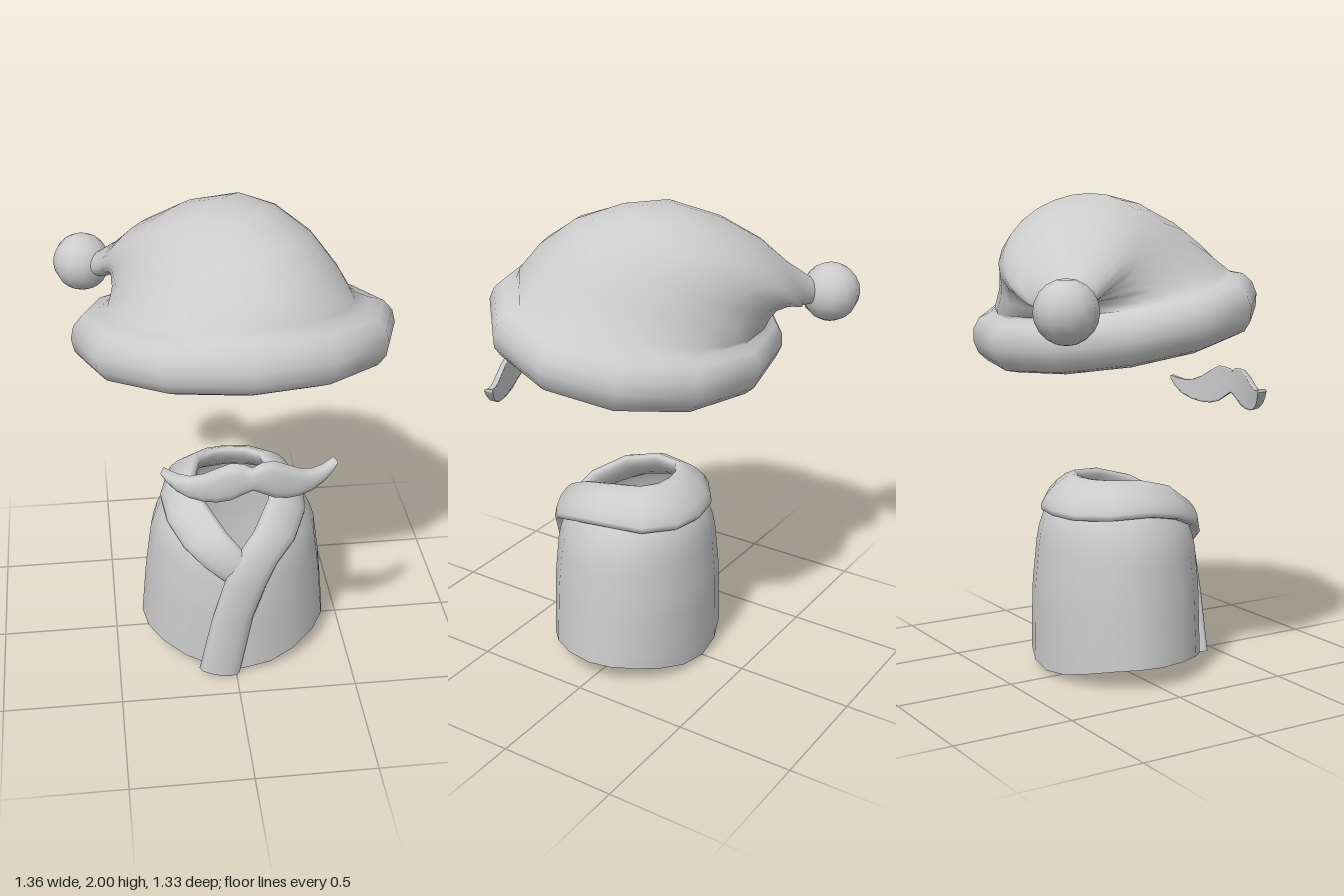
import * as THREE from 'three';

const material = new THREE.MeshStandardMaterial({ color: 0xcccccc, side: THREE.DoubleSide });
const V = (x, y, z) => new THREE.Vector3(x, y, z);

function addMesh(parent, name, geometry) {
  const mesh = new THREE.Mesh(geometry, material);
  mesh.name = name;
  parent.add(mesh);
  return mesh;
}

// Skins a list of closed rings (arrays of Vector3), with optional end caps
function loft(rings, capped = false) {
  const n = rings[0].length, points = rings.flat(), index = [];
  for (let r = 0; r < rings.length - 1; r++) {
    for (let i = 0; i < n; i++) {
      const a = r * n + i, b = r * n + (i + 1) % n;
      index.push(a, b, a + n, b, b + n, a + n);
    }
  }
  const cap = (ends, flip) => {
    const c = points.length;
    const centre = V(0, 0, 0);
    ends.forEach(p => centre.addScaledVector(p, 1 / n));
    points.push(centre, ...ends.map(p => p.clone()));
    for (let i = 0; i < n; i++) {
      const a = c + 1 + i, b = c + 1 + (i + 1) % n;
      index.push(c, flip ? b : a, flip ? a : b);
    }
  };
  if (capped) {
    cap(rings[0], true);
    cap(rings[rings.length - 1], false);
  }
  const g = new THREE.BufferGeometry().setFromPoints(points);
  g.setIndex(index);
  g.computeVertexNormals();
  return g;
}

function ring(n, fn) {
  return Array.from({ length: n }, (_, i) => fn((i / n) * Math.PI * 2, i));
}

// Looks up a table of [key, ...values] with linear interpolation
function lookup(table, key) {
  let i = 0;
  while (i < table.length - 2 && key > table[i + 1][0]) i++;
  const a = table[i], b = table[i + 1];
  const t = THREE.MathUtils.clamp((key - a[0]) / (b[0] - a[0]), 0, 1);
  return a.slice(1).map((v, k) => THREE.MathUtils.lerp(v, b[k + 1], t));
}

function makeHat() {
  const hat = new THREE.Group();
  hat.name = 'hat';

  // Rolled brim, tipped up at the front: [radius, height] from the head opening,
  // under and around the outside, to the top; twelve-sided in plan
  const roll = [
    [0.44, -0.07], [0.49, -0.1], [0.545, -0.112], [0.605, -0.092], [0.64, -0.052],
    [0.652, 0], [0.64, 0.052], [0.605, 0.092], [0.55, 0.108]
  ];
  const xAxis = V(1, 0, 0);
  const brim = roll.map(([r, y]) => ring(24, (a, i) => {
    const q = i % 2 ? r : r * Math.cos(Math.PI / 12), turn = Math.PI / 4 - a;
    return V(q * Math.cos(turn), y, 0.89 * q * Math.sin(turn))
      .applyAxisAngle(xAxis, -0.2).add(V(0.03, 1.49, 0.02));
  }));

  // Drooping crown: each section runs from a front/top point to a rear/under point
  // [front s, front y, rear s, rear y, half width, side offset, side tilt]
  const sections = [
    [-0.47, 1.70, 0.53, 1.535, 0.475, 0.01, -0.13],
    [-0.39, 1.81, 0.55, 1.56, 0.425, 0.025, -0.10],
    [-0.25, 1.92, 0.57, 1.57, 0.38, 0.045, -0.05],
    [-0.06, 1.985, 0.60, 1.565, 0.335, 0.065, 0],
    [0.12, 1.998, 0.62, 1.56, 0.285, 0.075, 0],
    [0.33, 1.925, 0.64, 1.55, 0.235, 0.075, 0],
    [0.50, 1.82, 0.66, 1.54, 0.175, 0.055, 0],
    [0.62, 1.71, 0.68, 1.53, 0.105, 0.02, 0],
    [0.73, 1.63, 0.72, 1.52, 0.065, 0.00, 0]
  ];
  const k = Math.SQRT1_2;
  const crown = sections.map(([s0, y0, s1, y1, w, off, tilt]) => ring(24, a => {
    const t = (1 - Math.cos(a)) / 2;
    const s = s0 + (s1 - s0) * t, l = off + w * Math.sin(a);
    return V(0.03 + k * (l - s), y0 + (y1 - y0) * t + tilt * l, 0.02 - k * (s + l));
  }));
  addMesh(hat, 'brimAndCrown', loft([...brim, ...crown]));

  addMesh(hat, 'pompom', new THREE.SphereGeometry(0.122, 12, 10))
    .position.set(-0.56, 1.56, -0.55);
  return hat;
}

function makeMoustache() {
  // [distance from middle, top y, bottom y]
  const half = [
    [0, 1.228, 1.137], [0.035, 1.247, 1.118], [0.08, 1.25, 1.09], [0.13, 1.225, 1.078],
    [0.18, 1.195, 1.078], [0.23, 1.176, 1.088], [0.275, 1.176, 1.11],
    [0.305, 1.184, 1.14], [0.325, 1.19, 1.175]
  ];
  const full = [...half.slice(1).reverse().map(([u, t, b]) => [-u, t, b]), ...half];
  // Rounded front, flat back, bent around the face
  const rings = full.map(([u, top, bottom]) => ring(12, a => {
    const bulge = Math.sqrt(Math.max(0, Math.sin(a))) * 0.036;
    const y = (top + bottom) / 2 + Math.cos(a) * (top - bottom) / 2;
    return V(0.025 + u * (1 + bulge * 1.2), y, 0.625 - 0.95 * u * u + bulge);
  }));
  const group = new THREE.Group();
  addMesh(group, 'moustache', loft(rings, true));
  return group;
}

function makeRobe() {
  const robe = new THREE.Group();
  robe.name = 'robe';

  // Body shell: [height, half width, front depth, back depth]
  const profile = [
    [0.0, 0.41, 0.37, 0.315], [0.09, 0.407, 0.37, 0.317], [0.35, 0.384, 0.37, 0.317],
    [0.55, 0.357, 0.355, 0.30], [0.62, 0.335, 0.33, 0.29], [0.68, 0.305, 0.295, 0.27],
    [0.75, 0.255, 0.21, 0.215], [0.78, 0.215, 0.15, 0.18]
  ];
  const rows = 12, body = [];
  for (let r = 0; r <= rows; r++) {
    body.push(ring(20, a => {
      const s = Math.sin(a);
      const hem = 0.09 - 0.07 * s ** 4;
      const rim = 0.78 - 0.2 * Math.max(0, s) ** 3;
      const y = THREE.MathUtils.lerp(hem, rim, r / rows);
      const [rx, front, back] = lookup(profile, y);
      return V(0.026 + rx * Math.cos(a), y, s * (s > 0 ? front : back));
    }));
  }
  addMesh(robe, 'body', loft(body));

  // Collar band: inner and outer edge points, from the front hem to the nape
  const side = [
    [V(-0.16, 0.04, 0.37), V(0.015, 0.0, 0.37)],
    [V(-0.105, 0.30, 0.37), V(0.07, 0.30, 0.37)],
    [V(-0.05, 0.50, 0.372), V(0.125, 0.46, 0.365)],
    [V(0.0, 0.62, 0.362), V(0.175, 0.56, 0.342)],
    [V(0.08, 0.705, 0.305), V(0.255, 0.62, 0.275)],
    [V(0.155, 0.78, 0.185), V(0.315, 0.67, 0.15)],
    [V(0.185, 0.82, 0.04), V(0.33, 0.695, 0.01)],
    [V(0.155, 0.828, -0.08), V(0.285, 0.69, -0.17)],
    [V(0.09, 0.828, -0.125), V(0.16, 0.68, -0.26)],
    [V(0.022, 0.828, -0.135), V(0.022, 0.68, -0.285)]
  ];
  // The other side mirrors it and tucks under at the front
  const mirrored = side.slice(3, -1).reverse()
    .map(pair => pair.map(p => V(0.045 - p.x, p.y, p.z)));
  const tuck = [[V(0.10, 0.52, 0.335), V(-0.04, 0.47, 0.335)]];
  const band = [...side, ...mirrored, ...tuck];
  const rings = band.map(([p, q], i) => {
    const before = band[Math.max(0, i - 1)], after = band[Math.min(band.length - 1, i + 1)];
    const along = V(0, 0, 0).add(after[0]).add(after[1]).sub(before[0]).sub(before[1]);
    const across = p.clone().sub(q).multiplyScalar(0.5);
    const normal = along.cross(across).normalize();
    const mid = p.clone().add(q).multiplyScalar(0.5);
    return ring(12, a => mid.clone().addScaledVector(across, Math.cos(a))
      .addScaledVector(normal, 0.036 * Math.sin(a)));
  });
  addMesh(robe, 'collar', loft(rings, true));
  return robe;
}

export function createModel() {
  const model = new THREE.Group();
  model.name = 'costume';
  model.add(makeHat(), makeMoustache(), makeRobe());
  return model;
}
